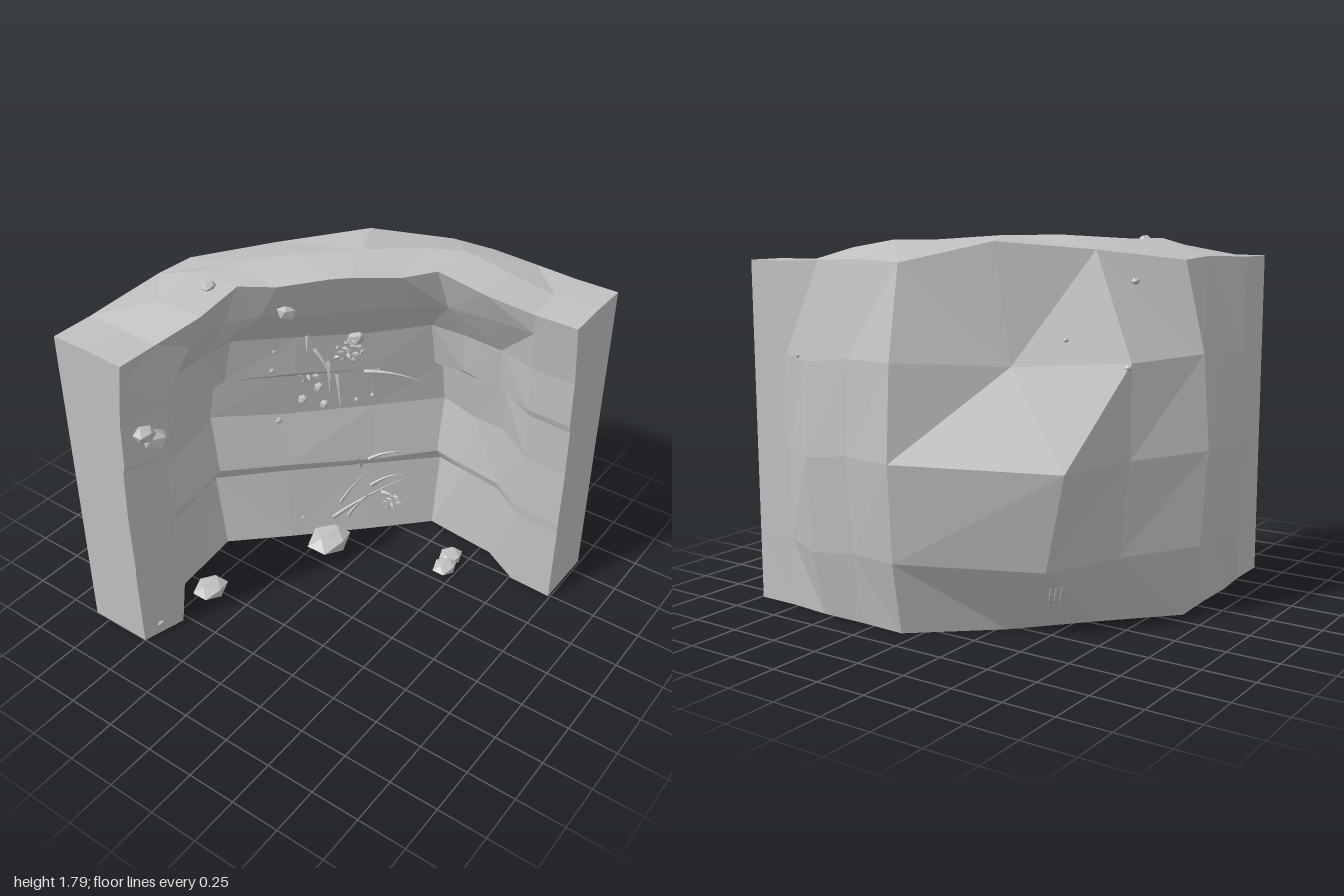
import * as THREE from 'three';

// Half of the wall, from its end to the middle:
// inner foot x z, inner lip x z, outer top x z, bulge depth, crest height, outer rim height
const HALF = [
  [-1, -.5, -1, -.44, -1, -.84, 0, 1.67, 1.67],
  [-.78, -.44, -.78, -.44, -.78, -.84, .01, 1.67, 1.67],
  [-.57, -.62, -.56, -.37, -.57, -.84, .12, 1.73, 1.68],
  [-.36, -.64, -.3, -.37, -.33, -.84, .11, 1.77, 1.69],
  [-.17, -.66, -.2, -.22, -.1, -.84, .16, 1.77, 1.68],
  [.08, -.4, -.03, -.05, .2, -.54, .23, 1.79, 1.73],
];
// Height and overhang of the layered inner face
const LAYERS = [[0, 0], [.43, -.11], [.48, -.05], [.8, -.17], [1.06, -.04], [1.1, .15], [1.34, .26], [1.55, .72]];

const mix = (a, b, t) => [a[0] + (b[0] - a[0]) * t, a[1] + (b[1] - a[1]) * t];
const mirror = ([x, z]) => [-z - .01, -x - .01];

function stations() {
  const half = HALF.map(([fx, fz, lx, lz, ox, oz, depth, crest, rim], i) => {
    const lean = i > 3 ? .32 : 0;
    const bulge = [ox + depth * lean, oz - depth];
    return { foot: [fx, fz], lip: [lx, lz], top: [ox, oz], bulge, crest, rim, shoulder: .75 };
  });
  const other = half.map(s => ({
    ...s, foot: mirror(s.foot), lip: mirror(s.lip), top: mirror(s.top), bulge: mirror(s.bulge),
  })).reverse();
  // Slanting ridge on the outer corner
  half[5].shoulder = 1;
  Object.assign(other[0], { bulge: [.62, -.64], shoulder: .25, rim: 1.77 });
  // Right end thins towards the ground
  other[4].foot = [.5, .76];
  return [...half, ...other];
}

// Closed cross-section: up the inner face, over the crest, down the outer face
function section({ foot, lip, top, bulge, crest, rim, shoulder }, i) {
  const at = ([x, z], y) => new THREE.Vector3(x, y, z);
  const rough = i > 1 && i < 10 ? 1 : 0;
  const inner = LAYERS.map(([y, t], j) => {
    const wave = j > 0 ? rough * Math.sin(i * 2.3 + j * 1.7) : 0;
    return at(mix(foot, lip, t + wave * .02), y + wave * .012);
  });
  const over = [at(lip, crest - .01), at(mix(lip, top, .5), crest), at(top, rim)];
  const outer = [[1.24, shoulder], [.8, 1], [.34, .75], [0, .18]]
    .map(([y, t]) => at(mix(top, bulge, t), y + (y > 0 ? rough * Math.sin(i * 1.9) * .02 : 0)));
  return [...inner, ...over, ...outer];
}

function cliffGeometry() {
  const rings = stations().map(section);
  const n = rings[0].length, last = rings.length - 1;
  const out = [];
  const tri = (...p) => p.forEach(v => out.push(v.x, v.y, v.z));
  for (let i = 0; i < last; i++) {
    for (let j = 0; j < n; j++) {
      const k = (j + 1) % n;
      const a = rings[i][j], b = rings[i + 1][j], c = rings[i + 1][k], d = rings[i][k];
      // Outer facets follow the ridge, the others alternate
      if (j > 10 ? j < 13 : (i + j) % 2) { tri(a, b, c); tri(a, c, d); }
      else { tri(a, b, d); tri(b, c, d); }
    }
  }
  // Flat end caps
  for (const e of [0, last]) {
    const c = new THREE.Vector3();
    rings[e].forEach(p => c.addScaledVector(p, 1 / n));
    rings[e].forEach((p, j) => {
      const q = rings[e][(j + 1) % n];
      if (e === 0) tri(c, p, q); else tri(c, q, p);
    });
  }
  const g = new THREE.BufferGeometry();
  g.setAttribute('position', new THREE.Float32BufferAttribute(out, 3));
  g.computeVertexNormals();
  return g;
}

// Curved, tapering blade of grass or root
function bladeGeometry(a, b, sag, width) {
  const m = a.clone().lerp(b, .5);
  m.y += sag;
  const curve = new THREE.QuadraticBezierCurve3(a, m, b);
  const g = new THREE.TubeGeometry(curve, 6, width, 4);
  const p = g.attributes.position, v = new THREE.Vector3();
  for (let i = 0; i < p.count; i++) {
    const t = Math.floor(i / 5) / 6;
    const c = curve.getPointAt(t);
    v.fromBufferAttribute(p, i).sub(c).multiplyScalar(1 - .9 * t).add(c);
    p.setXYZ(i, v.x, v.y, v.z);
  }
  g.computeVertexNormals();
  return g;
}

// Point on the slanting inner wall
function onWall(x, y) {
  const depth = y > 1.08 ? .38 : y > .46 ? .51 : .49;
  return new THREE.Vector3(x, y, x - depth);
}

export function createModel() {
  const model = new THREE.Group();
  const stone = new THREE.MeshStandardMaterial({ color: 0xc0c0c0 });
  stone.name = 'stone grey';
  stone.flatShading = true;
  const group = name => {
    const g = new THREE.Group();
    g.name = name;
    model.add(g);
    return g;
  };
  const add = (name, geometry, parent) => {
    const mesh = new THREE.Mesh(geometry, stone);
    mesh.name = name;
    parent.add(mesh);
    return mesh;
  };
  add('cliffWall', cliffGeometry(), model);

  const rocks = group('looseRocks');
  const addRock = (position, r, squash, tilt = 0) => {
    const rock = add('rock', new THREE.IcosahedronGeometry(r, 0), rocks);
    rock.position.copy(position);
    rock.scale.set(1, squash, .8);
    rock.rotation.z = tilt;
  };
  // Boulders on the ground: x, z, radius
  [[-.54, -.46, .105], [.13, -.18, .14], [.34, .44, .08], [.43, .42, .08]]
    .forEach(([x, z, r]) => addRock(new THREE.Vector3(x, r * .37, z), r, .43));
  // Stones caught on the wall: x, y, z, radius, tilt
  [
    [-.91, 1.26, -.43, .06, -.2], [-.85, 1.2, -.43, .08, -.6], [-.37, 1.755, -.48, .042, 0],
    [-.11, 1.58, -.24, .06, -.6], [-.25, 1.4, -.52, .03, 0], [-.9, .06, -.48, .025, 0],
    [.88, 1.24, .65, .018, 0], [.12, 1.59, -.7, .025, 0], [.28, 1.22, -.76, .025, 0],
    [.42, 1.34, -.52, .016, 0],
  ].forEach(([x, y, z, r, tilt]) => addRock(new THREE.Vector3(x, y, z), r, .7, tilt));
  // Pebbles on the slanting inner wall: x, y, radius
  [
    [.27, 1.31, .06], [.21, .97, .03], [.15, .9, .03], [.23, .86, .028], [.35, .87, .014],
    [.41, .89, .014], [.06, .78, .02], [-.03, 1.15, .015], [-.02, 1.26, .012], [.43, 1.06, .035],
    [.13, .12, .013],
  ].forEach(([x, y, r]) => addRock(onWall(x, y), r, .85, x * 2));

  // Blades sprouting from the slanting wall: start x y, reach x y
  const grass = group('grassBlades');
  [
    [.1, 1.36, -.05, -.09], [.12, 1.26, .02, -.16], [.17, 1.18, -.04, -.16], [.2, 1.1, -.03, -.2],
    [.3, 1.1, .16, -.05], [.25, .1, .23, .27], [.28, .2, .06, .24], [.36, .44, -.06, .1],
    [.4, .47, .08, .07], [.31, .1, .05, .2], [.4, .3, .07, .1], [.44, .25, .04, -.07],
  ].forEach(([x, y, dx, dy]) => {
    const start = onWall(x, y);
    const tip = start.clone().add(new THREE.Vector3(dx, dy, dx + .08));
    add('blade', bladeGeometry(start, tip, .035, .012), grass);
  });

  // Thin roots on the outer face
  for (let i = 0; i < 3; i++) {
    const top = new THREE.Vector3(.49 + i * .018, .24, -.55 + i * .018);
    const tip = top.clone().add(new THREE.Vector3(-.01, -.1, .02));
    add('root', bladeGeometry(top, tip, 0, .006), grass);
  }

  // Leafy tufts as spiral clusters of small chips: x, y, leaf count
  const tufts = group('leafTufts');
  [[.22, 1.25, 14], [.15, 1.08, 10], [.46, .2, 8]].forEach(([x, y, count]) => {
    const centre = onWall(x, y);
    for (let i = 0; i < count; i++) {
      const leaf = add('leaf', new THREE.OctahedronGeometry(.022, 0), tufts);
      const r = .014 * Math.sqrt(i), a = i * 2.4;
      leaf.position.set(Math.cos(a) * r, Math.sin(a) * r * 1.4, Math.cos(a) * r + .04).add(centre);
      leaf.scale.set(1, .6, .5);
      leaf.rotation.set(i, i * 1.7, i * 2.1);
    }
  });
  return model;
}
